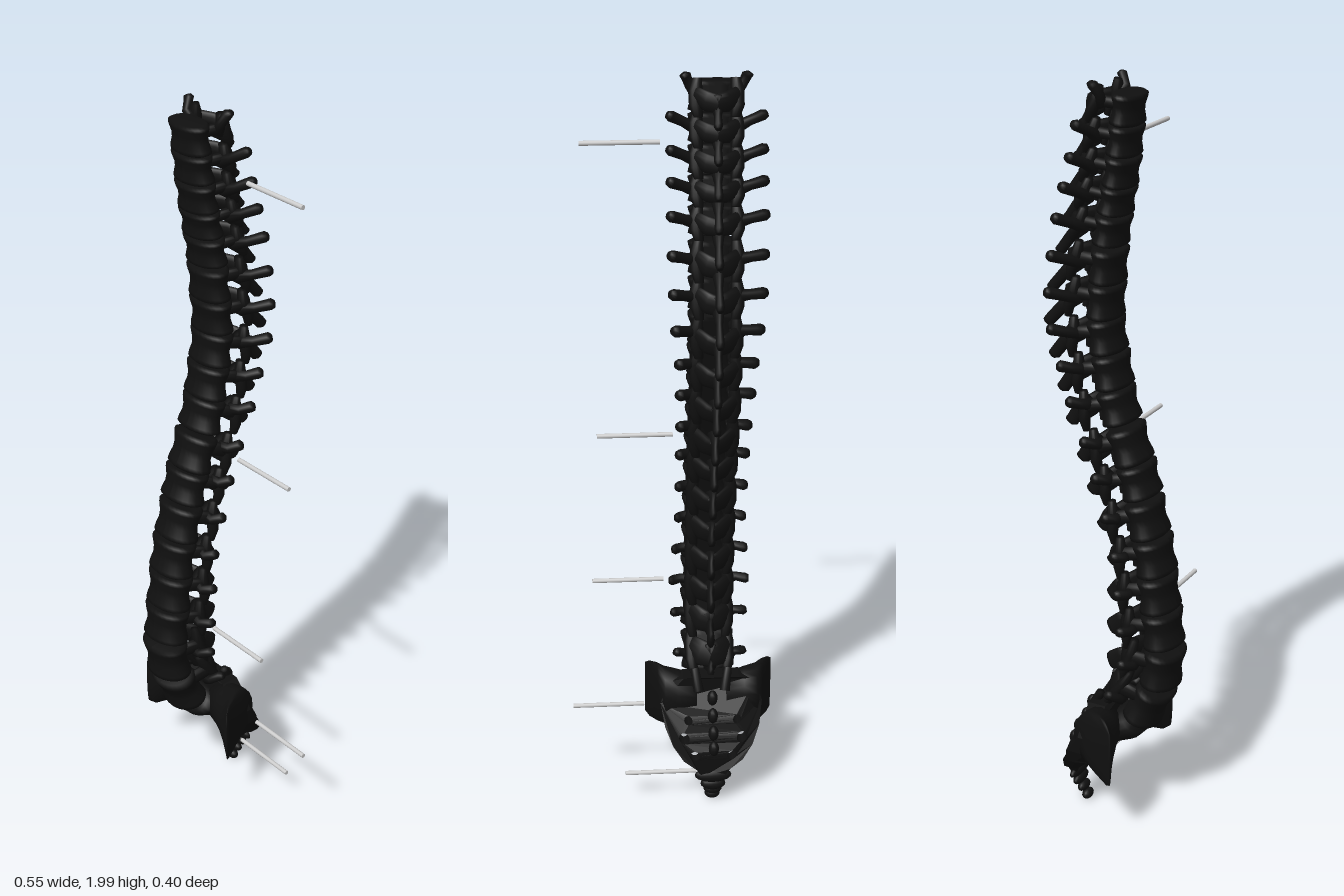
import * as THREE from 'three';

const CX = -0.167; // the column stands left of the labels' leader rods
const bone = new THREE.MeshStandardMaterial({ color: 0x101010, side: THREE.DoubleSide });
const grey = new THREE.MeshStandardMaterial({ color: 0xcccccc });

// Smooth lookup in rows of [key, value, value...], keys descending
function sample(rows, key, col = 1) {
  if (key >= rows[0][0]) return rows[0][col];
  for (let i = 1; i < rows.length; i++) {
    const a = rows[i - 1], b = rows[i];
    if (key >= b[0]) return THREE.MathUtils.lerp(b[col], a[col], (key - b[0]) / (a[0] - b[0]));
  }
  return rows[rows.length - 1][col];
}

// Loft of elliptical sections [x, y, z, halfWidth, halfHeight], all square to one direction
function limb(name, rows, dir, sides = 12) {
  const pts = rows.map(r => new THREE.Vector3(r[0], r[1], r[2]));
  const d = dir ? dir.clone() : pts[pts.length - 1].clone().sub(pts[0]);
  d.normalize();
  const ref = Math.abs(d.y) > 0.9 ? new THREE.Vector3(0, 0, 1) : new THREE.Vector3(0, 1, 0);
  const u = ref.cross(d).normalize(), v = d.clone().cross(u);
  const pos = [], idx = [];
  rows.forEach((r, i) => {
    for (let j = 0; j < sides; j++) {
      const a = j / sides * Math.PI * 2;
      const p = pts[i].clone().addScaledVector(u, Math.cos(a) * r[3]).addScaledVector(v, Math.sin(a) * r[4]);
      pos.push(p.x, p.y, p.z);
    }
  });
  const last = rows.length - 1, c0 = rows.length * sides;
  pos.push(...pts[0].toArray(), ...pts[last].toArray());
  for (let j = 0; j < sides; j++) {
    const k = (j + 1) % sides;
    for (let i = 0; i < last; i++) {
      const a = i * sides + j, b = i * sides + k;
      idx.push(a, b, b + sides, a, b + sides, a + sides);
    }
    idx.push(c0, k, j, c0 + 1, last * sides + j, last * sides + k);
  }
  const g = new THREE.BufferGeometry();
  g.setAttribute('position', new THREE.Float32BufferAttribute(pos, 3));
  g.setIndex(idx);
  g.computeVertexNormals();
  const m = new THREE.Mesh(g, bone);
  m.name = name;
  return m;
}

// Centre line of the bodies: [y, z]
const axis = [[1.97, 0.047], [1.8, 0.028], [1.6, -0.007], [1.4, -0.024], [1.2, 0.008], [1.0, 0.07],
  [0.8, 0.115], [0.6, 0.14], [0.5, 0.147], [0.4, 0.122], [0.3, 0.07]];
// Spinous tips by body height: [y, tip z, tip drop]
const spine = [[1.925, -0.085, 0.05], [1.7, -0.135, 0.07], [1.54, -0.18, 0.085], [1.45, -0.192, 0.085],
  [1.36, -0.178, 0.08], [1.18, -0.13, 0.07], [0.99, -0.07, 0.06], [0.79, -0.01, 0.05], [0.59, -0.015, 0.04], [0.35, -0.02, 0.02]];
// Transverse tips by body height: [y, half span, rise, setback]
const wings = [[1.925, 0.08, 0.065, 0.058], [1.85, 0.118, 0.05, 0.075], [1.6, 0.12, 0.04, 0.1],
  [1.4, 0.115, 0.03, 0.108], [1.27, 0.1, 0.022, 0.1], [1.1, 0.093, 0.02, 0.09], [0.8, 0.092, 0.01, 0.075],
  [0.59, 0.107, 0.01, 0.075], [0.35, 0.095, 0.04, 0.08]];
const levels = [1.925, 1.85, 1.775, 1.705, 1.63, 1.54, 1.45, 1.36, 1.27, 1.18, 1.08, 0.99, 0.89, 0.79, 0.69, 0.59, 0.48, 0.365];

function vertebra(i) {
  const y = levels[i], z = sample(axis, y), t = i / (levels.length - 1);
  const pitch = i ? levels[i - 1] - y : 0.078;
  const slope = (sample(axis, y + 0.06) - sample(axis, y - 0.06)) / 0.12;
  const w = 0.064 + 0.009 * t, dep = 0.036 + 0.016 * t, h = pitch * 0.48;
  const g = new THREE.Group();
  g.name = 'vertebra' + (i + 1);
  g.position.set(CX, y, z);
  const core = new THREE.Group();
  core.name = 'bodyAndArch';
  core.rotation.x = Math.atan(slope);
  g.add(core);

  // Waisted body with a rim at both ends, flattened behind
  const profile = [[0, -1], [0.85, -1], [1, -0.88], [0.98, -0.68], [0.88, -0.2], [0.88, 0.2], [0.98, 0.68], [1, 0.88], [0.85, 1], [0, 1]]
    .map(p => new THREE.Vector2(p[0], p[1] * h));
  const geo = new THREE.LatheGeometry(profile, 28);
  const p = geo.attributes.position;
  for (let k = 0; k < p.count; k++) {
    const pz = p.getZ(k);
    p.setXYZ(k, p.getX(k) * w, p.getY(k), (pz < 0 ? Math.max(pz, -0.8) : pz) * dep);
  }
  geo.computeVertexNormals();
  const body = new THREE.Mesh(geo, bone);
  body.name = 'body';
  core.add(body);

  const back = -dep * 0.75, archZ = back - 0.055;
  const span = sample(wings, y), rise = sample(wings, y, 2), set = sample(wings, y, 3);
  for (const s of [-1, 1]) {
    core.add(limb('pedicle', [[s * w * 0.6, h * 0.4, back + 0.012, 0.012, h * 0.38], [s * w * 0.72, h * 0.35, back - 0.03, 0.013, h * 0.4]]));
    core.add(limb('articularPillar', [[s * 0.044, -h * 1.1, archZ + 0.005, 0.011, 0.009], [s * 0.05, -h * 0.4, archZ + 0.01, 0.016, 0.014],
      [s * 0.05, h * 0.5, archZ + 0.022, 0.017, 0.016], [s * 0.046, h * 1.3, archZ + 0.024, 0.012, 0.01]]));
    core.add(limb('lamina', [[s * 0.05, h * 0.25, archZ + 0.015, 0.012, h * 0.55], [s * 0.025, -h * 0.05, archZ - 0.008, 0.01, h * 0.65],
      [-s * 0.004, -h * 0.2, archZ - 0.02, 0.01, h * 0.6]]));
    const thick = 0.013 + 0.002 * Math.sin(t * Math.PI);
    g.add(limb('transverseProcess', [[s * 0.042, rise * 0.1 + 0.003, back - 0.025, 0.017, 0.017],
      [s * (0.03 + span * 0.42), rise * 0.55, -set * 0.72, thick * 0.85, thick * 0.9],
      [s * (span - 0.008), rise * 0.92, -set * 0.97, thick, thick], [s * span, rise, -set, thick * 0.7, thick * 0.7]]));
  }

  // Slender and drooping above, deep and blunt below
  const tipZ = sample(spine, y) - z, drop = sample(spine, y, 2), tall = 0.014 + 0.018 * t * t;
  g.add(limb('spinousProcess', [[0, -h * 0.1, archZ + 0.002, 0.018, tall + 0.006],
    [0, -drop * 0.5, (archZ + tipZ) / 2, 0.009, tall], [0, -drop * 0.92, tipZ + 0.01, 0.011, tall * 0.95], [0, -drop, tipZ, 0.008, tall * 0.7]]));
  return g;
}

function sacrum() {
  const g = new THREE.Group();
  g.name = 'sacrum';
  g.position.x = CX;
  // Curved plate pierced by paired openings
  const half = [[0.075, 0.355], [0.12, 0.34], [0.138, 0.28], [0.128, 0.225], [0.108, 0.18], [0.08, 0.14], [0.045, 0.115], [0.03, 0.09]];
  const shape = new THREE.Shape([...half, ...half.slice().reverse().map(p => [-p[0], p[1]])].map(p => new THREE.Vector2(...p)));
  for (const s of [-1, 1]) for (const [x, y, r] of [[0.066, 0.25, 0.011], [0.078, 0.205, 0.014], [0.05, 0.16, 0.013]]) {
    shape.holes.push(new THREE.Path().absarc(s * x, y, r, 0, Math.PI * 2, true));
  }
  const geo = new THREE.ExtrudeGeometry(shape, { depth: 1, bevelEnabled: false, curveSegments: 8, steps: 3 });
  const bend = [[0.36, -0.025, 0.05], [0.28, -0.05, 0.055], [0.22, -0.085, 0.05], [0.18, -0.108, 0.035], [0.13, -0.118, 0.022], [0.09, -0.113, 0.018]];
  const p = geo.attributes.position;
  for (let k = 0; k < p.count; k++) {
    const x = p.getX(k), y = p.getY(k);
    p.setZ(k, sample(bend, y) + (p.getZ(k) - 0.5) * sample(bend, y, 2) + x * x * 2);
  }
  geo.computeVertexNormals();
  const plate = new THREE.Mesh(geo, bone);
  plate.name = 'sacralPlate';
  g.add(plate);

  // Fused bodies running down from the lowest vertebra
  g.add(limb('sacralBody', [[0, 0.305, 0.065, 0.066, 0.045], [0, 0.285, 0.04, 0.072, 0.05], [0, 0.25, -0.02, 0.06, 0.045],
    [0, 0.205, -0.075, 0.042, 0.03], [0, 0.15, -0.112, 0.026, 0.016]], new THREE.Vector3(0, -0.7, -0.7), 20));
  for (const s of [-1, 1]) {
    g.add(limb('sacralWing', [[s * 0.04, 0.285, -0.005, 0.05, 0.055], [s * 0.09, 0.285, 0, 0.055, 0.072], [s * 0.125, 0.28, 0.005, 0.062, 0.084],
      [s * 0.143, 0.275, 0.03, 0.042, 0.09], [s * 0.162, 0.267, 0.06, 0.018, 0.09], [s * 0.174, 0.265, 0.076, 0.006, 0.078]], new THREE.Vector3(s, 0, 0), 20));
    g.add(limb('sacralHorn', [[s * 0.035, 0.32, -0.05, 0.014, 0.014], [s * 0.045, 0.375, -0.02, 0.012, 0.012]]));
  }
  // Ridge of knobs down the back
  for (const [y, z] of [[0.31, -0.07], [0.265, -0.088], [0.225, -0.112], [0.185, -0.126]]) {
    const knob = new THREE.Mesh(new THREE.SphereGeometry(0.02, 12, 8), bone);
    knob.name = 'medianCrest';
    knob.scale.set(0.7, 1.1, 0.8);
    knob.position.set(0, y, z);
    g.add(knob);
  }
  return g;
}

function coccyx() {
  const g = new THREE.Group();
  g.name = 'coccyx';
  g.position.x = CX;
  for (const [y, z, w, h] of [[0.092, -0.112, 0.05, 0.02], [0.064, -0.11, 0.034, 0.018], [0.041, -0.1, 0.025, 0.015], [0.018, -0.088, 0.021, 0.015]]) {
    const bead = new THREE.Mesh(new THREE.SphereGeometry(1, 16, 10), bone);
    bead.name = 'coccyxSegment';
    bead.scale.set(w, h, 0.014);
    bead.rotation.x = 0.3;
    bead.position.set(0, y, z);
    g.add(bead);
  }
  return g;
}

export function createModel() {
  const model = new THREE.Group();
  model.name = 'spine';
  levels.forEach((_, i) => model.add(vertebra(i)));
  model.add(sacrum(), coccyx());
  // Leader rods: [x start, x end, y, z]
  for (const [a, b, y, z] of [[-0.033, 0.16, 1.83, -0.023], [-0.063, 0.13, 1.07, -0.023], [-0.045, 0.147, 0.6, 0.077],
    [0.015, 0.207, 0.272, -0.023], [-0.123, 0.07, 0.092, -0.088]]) {
    const rod = new THREE.Mesh(new THREE.CylinderGeometry(0.006, 0.006, b - a, 16), grey);
    rod.name = 'leaderRod';
    rod.rotation.z = Math.PI / 2;
    rod.position.set((a + b) / 2, y, z);
    model.add(rod);
  }
  return model;
}
